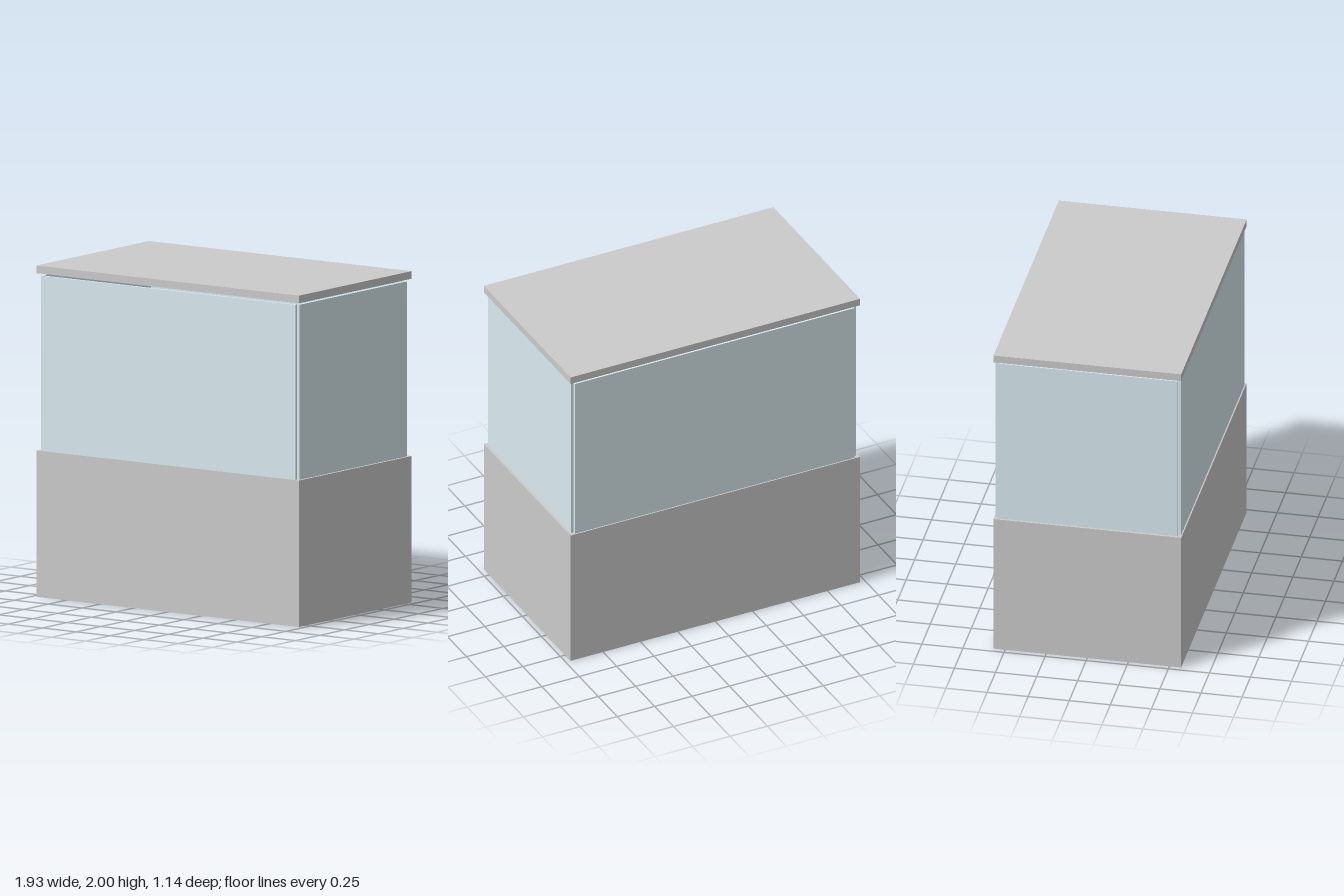
import * as THREE from 'three';

const WIDTH = 1.935, DEPTH = 1.143;
const BASE_TOP = 0.884, GLASS_TOP = 1.94, LID_BOTTOM = 1.954, TOP = 2;

export function createModel() {
  const group = new THREE.Group();
  const grey = new THREE.MeshStandardMaterial({ color: 0xcccccc });
  const glass = new THREE.MeshStandardMaterial({ color: 0xdaebf1 });

  // box standing between two heights
  function addBox(name, material, w, d, y0, y1, x = 0, z = 0) {
    const mesh = new THREE.Mesh(new THREE.BoxGeometry(w, y1 - y0, d), material);
    mesh.position.set(x, (y0 + y1) / 2, z);
    mesh.name = name;
    group.add(mesh);
  }

  // solid cabinet and the thin lid above the glass
  addBox('cabinet', grey, WIDTH, DEPTH, 0, BASE_TOP);
  addBox('lid', grey, WIDTH, DEPTH, LID_BOTTOM, TOP);

  // four glass panes, meeting edge to edge with a small notch at each corner
  const halfX = 0.952, halfZ = 0.564, thick = 0.017;
  for (const s of [1, -1]) {
    addBox(s > 0 ? 'frontPane' : 'backPane', glass,
      2 * (halfX - thick), thick, BASE_TOP, GLASS_TOP, 0, s * (halfZ - thick / 2));
    addBox(s > 0 ? 'leftPane' : 'rightPane', glass,
      thick, 2 * (halfZ - thick), BASE_TOP, GLASS_TOP, s * (halfX - thick / 2), 0);
  }
  return group;
}
